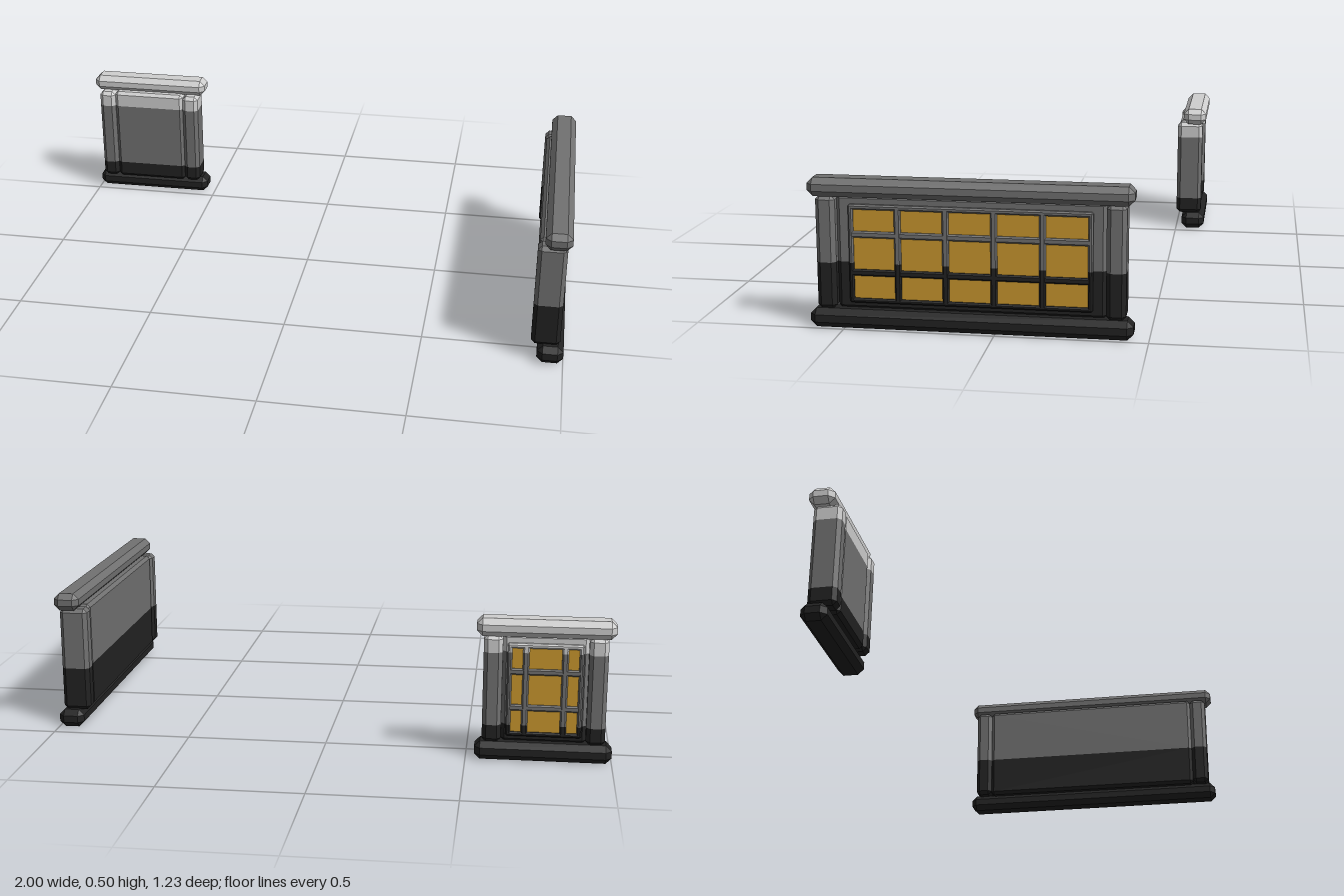
import * as THREE from 'three';
import { ConvexGeometry } from 'three/addons/geometries/ConvexGeometry.js';

const mat = (name, color) => new THREE.MeshStandardMaterial({ name, color });

export function createModel() {
  const light = mat('light grey', 0xd0d0d0);
  const mid = mat('mid grey', 0x727272);
  const dark = mat('charcoal', 0x222222);
  const amber = mat('amber glass', 0xcc992f);

  // Chamfered block cut into horizontal colour bands: [[topY, material], ...]
  function block(name, [x0, x1], [y0, y1], [z0, z1], c, bands) {
    const group = new THREE.Group();
    group.name = name;
    const rect = (y) => [x0 + c, x1 - c].flatMap((x) => [z0 + c, z1 - c].map((z) => new THREE.Vector3(x, y, z)));
    const octagon = (y) => [
      ...[x0, x1].flatMap((x) => [z0 + c, z1 - c].map((z) => new THREE.Vector3(x, y, z))),
      ...[x0 + c, x1 - c].flatMap((x) => [z0, z1].map((z) => new THREE.Vector3(x, y, z))),
    ];
    let from = y0;
    for (const [limit, material] of bands) {
      const to = Math.min(limit, y1);
      if (to - from < 1e-4) continue;
      const points = [];
      if (from === y0) points.push(...rect(y0), ...octagon(y0 + c));
      else points.push(...octagon(from));
      if (to === y1) points.push(...octagon(y1 - c), ...rect(y1));
      else points.push(...octagon(to));
      const mesh = new THREE.Mesh(new ConvexGeometry(points), material);
      mesh.name = name;
      group.add(mesh);
      from = to;
    }
    return group;
  }

  // One wall panel: length along x, windowed outer side towards +z
  function panel(name, { half, glassHalf, bars, bands, cap }) {
    const group = new THREE.Group();
    group.name = name;
    const add = (...args) => group.add(block(...args));
    const inner = half - 0.09;

    // Rails above and below
    add('bottomRail', [-half, half], [0, 0.065], [-0.092, 0], 0.02, [[9, dark]]);
    add('topRail', [-half, half], [0.44, 0.503], [-0.092, 0], 0.02, [[9, cap]]);

    // End posts and the wall between them
    for (const s of [-1, 1]) {
      const xs = [s * inner, s * (half - 0.025)].sort((a, b) => a - b);
      add('post', xs, [0.062, 0.443], [-0.115, -0.014], 0.014, bands);
    }
    add('wall', [-inner, inner], [0.06, 0.445], [-0.109, -0.038], 0.012, bands);

    // Glass plate
    const glass = new THREE.Mesh(new THREE.BoxGeometry(glassHalf * 2, 0.3, 0.006), amber);
    glass.name = 'glass';
    glass.position.set(0, 0.25, -0.036);
    group.add(glass);

    // Window frame
    const out = glassHalf + 0.014, depth = [-0.045, -0.024];
    for (const s of [-1, 1]) {
      const xs = [s * out, s * (glassHalf - 0.002)].sort((a, b) => a - b);
      add('frameSide', xs, [0.085, 0.415], depth, 0.005, bands);
    }
    add('frameBottom', [-out, out], [0.085, 0.1], depth, 0.005, bands);
    add('frameTop', [-out, out], [0.398, 0.415], depth, 0.005, bands);

    // Glazing bars
    for (const x of bars) add('uprightBar', [x - 0.011, x + 0.011], [0.09, 0.41], depth, 0.005, bands);
    for (const y of [0.187, 0.315]) add('crossBar', [-out, out], [y - 0.011, y + 0.011], [-0.045, -0.025], 0.005, bands);
    return group;
  }

  const model = new THREE.Group();
  model.name = 'windowedWalls';

  // Long wall on the left side, windows facing +x
  const long = panel('longWall', {
    half: 0.5325, glassHalf: 0.386, bars: [-0.237, -0.079, 0.079, 0.237],
    bands: [[0.22, dark], [9, mid]], cap: mid,
  });
  long.rotation.y = Math.PI / 2;
  long.position.set(1, 0, 0.0825);

  // Short wall at the back, windows facing -z
  const short = panel('shortWall', {
    half: 0.235, glassHalf: 0.115, bars: [-0.066, 0.066],
    bands: [[0.125, dark], [0.383, mid], [9, light]], cap: light,
  });
  short.rotation.y = Math.PI;
  short.position.set(-0.765, 0, -0.615);

  model.add(long, short);
  return model;
}
